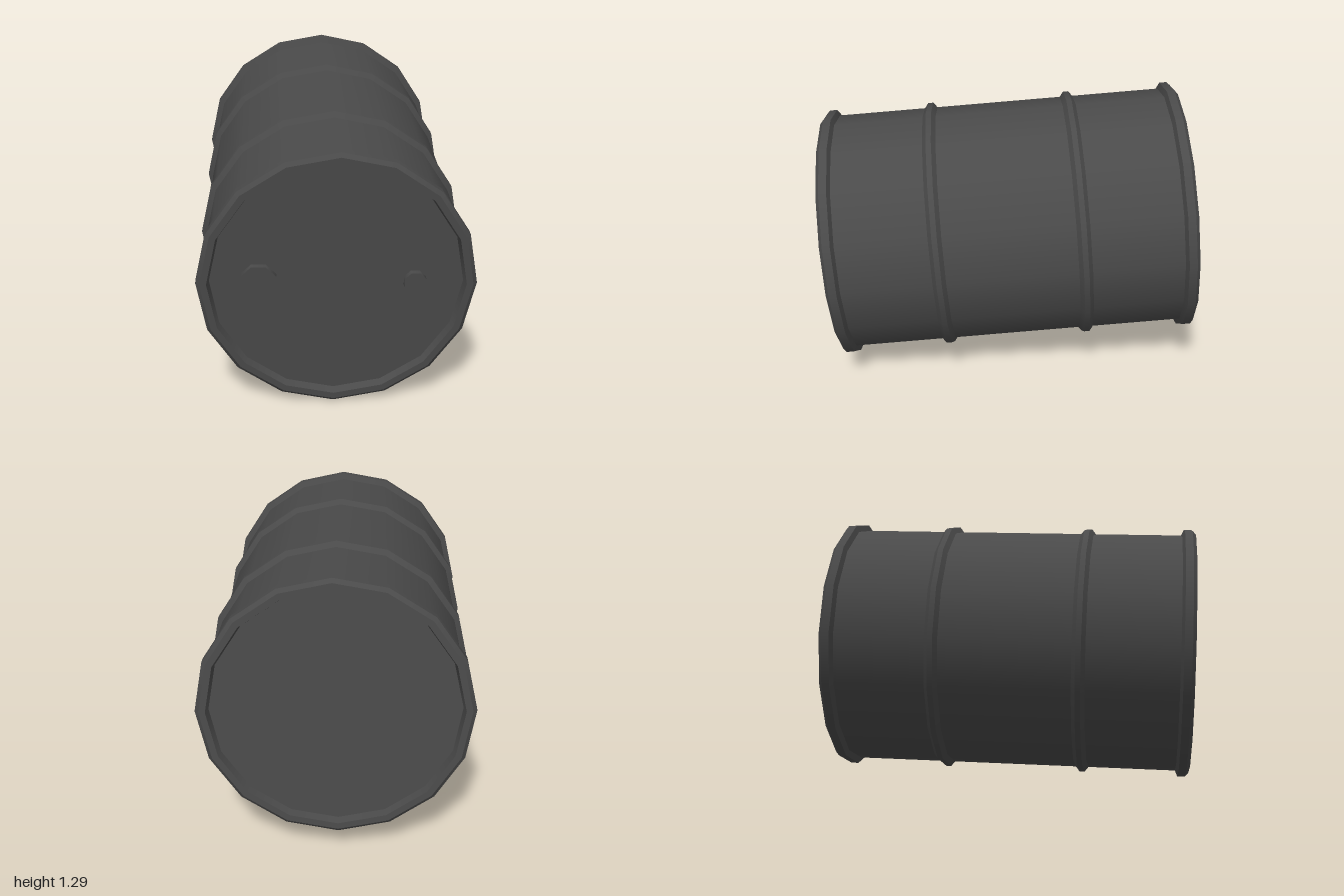
import * as THREE from 'three';
import { mergeGeometries } from 'three/addons/utils/BufferGeometryUtils.js';

const SIDES = 16;

// Revolve each profile step separately: smooth around, crisp between steps
function creasedLathe(profile) {
  const strips = [];
  for (let i = 0; i < profile.length - 1; i++) {
    const pair = [profile[i], profile[i + 1]].map(([r, y]) => new THREE.Vector2(r, y));
    strips.push(new THREE.LatheGeometry(pair, SIDES));
  }
  return mergeGeometries(strips);
}

export function createModel() {
  const steel = new THREE.MeshStandardMaterial({ color: 0x4a4a4a });
  steel.name = 'dark grey steel';

  const WALL = 0.558, CAP_Y = 0.785, HOOP_Y = 0.322;
  const barrel = new THREE.Group();
  barrel.name = 'barrel';
  const add = (name, geometry, y = 0, x = 0) => {
    const mesh = new THREE.Mesh(geometry, steel);
    mesh.name = name;
    mesh.position.set(x, y, 0);
    barrel.add(mesh);
    return mesh;
  };

  // Side wall
  add('wall', creasedLathe([[WALL, -0.77], [WALL, 0.77]]));

  // Rolled rim and recessed end cap, mirrored by a half turn for the back end
  const rim = creasedLathe([
    [WALL, 0.758], [0.585, 0.77], [0.585, 0.805], [0.568, 0.82], [0.54, 0.82], [0.53, CAP_Y],
  ]);
  const cap = creasedLathe([[0.53, CAP_Y], [0, CAP_Y]]);
  for (const end of ['front', 'back']) {
    const turn = end === 'front' ? 0 : Math.PI;
    add(end + 'Rim', rim).rotation.x = turn;
    add(end + 'Cap', cap).rotation.x = turn;
  }

  // Two raised hoops around the wall
  const hoop = creasedLathe([[WALL, -0.03], [0.581, -0.012], [0.581, 0.012], [WALL, 0.03]]);
  add('frontHoop', hoop, HOOP_Y);
  add('backHoop', hoop, -HOOP_Y);

  // Large and small octagonal plugs on the front cap
  const plug = (r) => new THREE.CylinderGeometry(r, r, 0.03, 8).rotateY(Math.PI / 8);
  add('largePlug', plug(0.081), CAP_Y + 0.01, -0.326);
  add('smallPlug', plug(0.049), CAP_Y + 0.01, 0.326);

  // Lying on its side, rolled, dipped and turned
  barrel.rotation.order = 'YXZ';
  const roll = new THREE.Group();
  roll.name = 'lyingBarrel';
  roll.rotation.order = 'YXZ';
  roll.rotation.set(Math.PI / 2 + 0.077, THREE.MathUtils.degToRad(36), 0);
  barrel.rotation.y = THREE.MathUtils.degToRad(-1.3);
  roll.add(barrel);
  roll.position.y = 0.65;

  const model = new THREE.Group();
  model.name = 'steelDrum';
  model.add(roll);
  return model;
}
